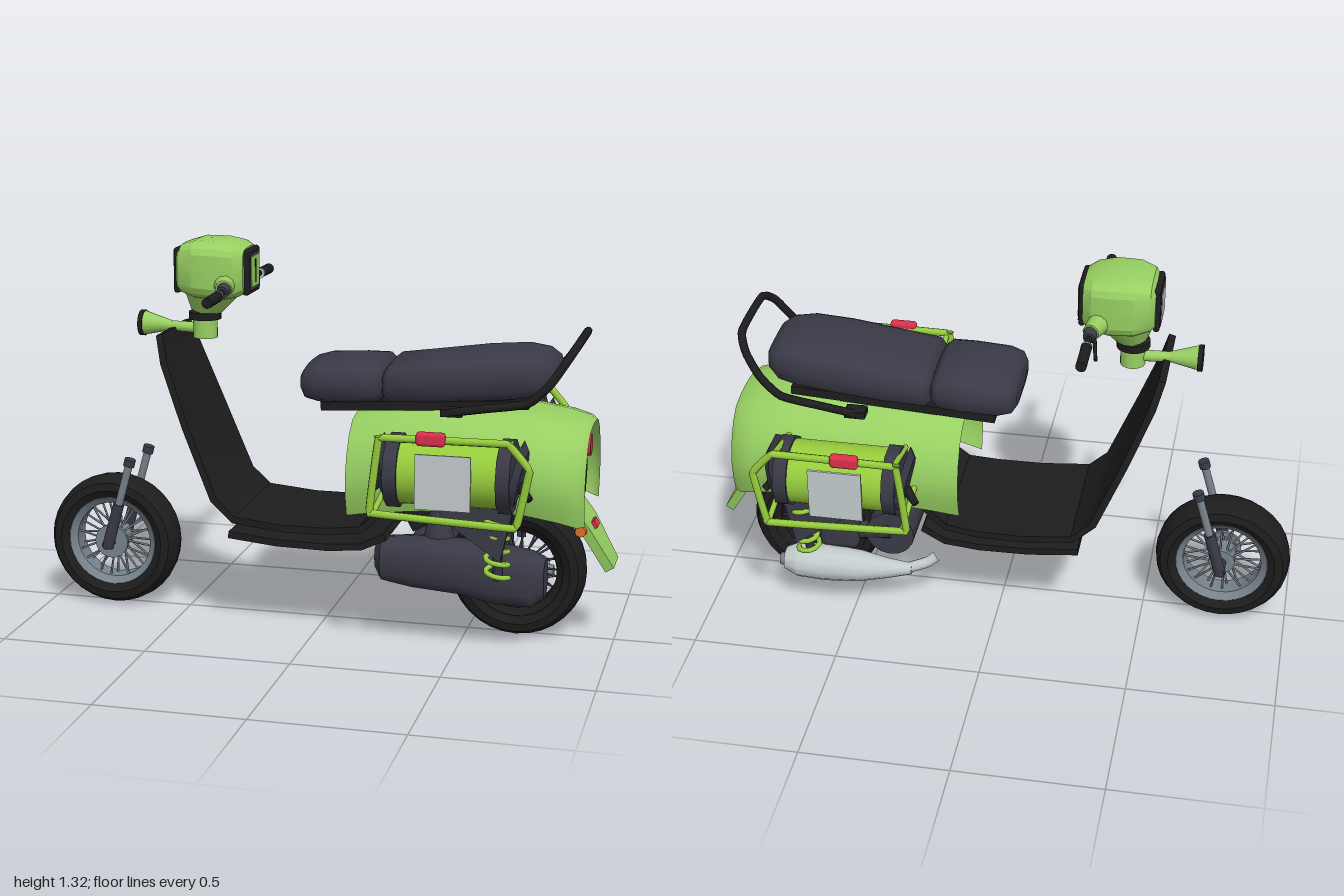
import * as THREE from 'three';
import { toCreasedNormals } from 'three/addons/utils/BufferGeometryUtils.js';
import { RoundedBoxGeometry } from 'three/addons/geometries/RoundedBoxGeometry.js';

const V = (x, y, z) => new THREE.Vector3(x, y, z);
const mat = (name, color, side = THREE.FrontSide) => {
  const m = new THREE.MeshStandardMaterial({ color, side });
  m.name = name;
  return m;
};

// Skin a list of rings that run towards +x; each ring turns from +y to +z.
function loft(rings, { closed = true, crease = 0.7 } = {}) {
  const n = rings[0].length, pos = [], idx = [];
  rings.forEach(r => r.forEach(p => pos.push(p.x, p.y, p.z)));
  for (let i = 0; i < rings.length - 1; i++)
    for (let j = 0; j < (closed ? n : n - 1); j++) {
      const a = i * n + j, b = i * n + (j + 1) % n;
      idx.push(a, b, a + n, b, b + n, a + n);
    }
  if (closed) [0, rings.length - 1].forEach((i, end) => {
    const c = rings[i].reduce((s, p) => s.add(p), V(0, 0, 0)).divideScalar(n);
    const k = pos.length / 3;
    pos.push(c.x, c.y, c.z);
    for (let j = 0; j < n; j++) {
      const a = i * n + j, b = i * n + (j + 1) % n;
      end ? idx.push(k, a, b) : idx.push(k, b, a);
    }
  });
  const g = new THREE.BufferGeometry();
  g.setAttribute('position', new THREE.Float32BufferAttribute(pos, 3));
  g.setIndex(idx);
  return toCreasedNormals(g, crease);
}

// Rounded cross-section: x, bottom, top, half width, centre z, roundness power.
function oval([x, bottom, top, w, cz = 0], power = 0.6, n = 20) {
  return Array.from({ length: n }, (_, j) => {
    const t = j / n * Math.PI * 2, c = Math.cos(t), s = Math.sin(t);
    const f = v => Math.sign(v) * Math.pow(Math.abs(v), power);
    return V(x, (top + bottom) / 2 + f(c) * (top - bottom) / 2, cz + f(s) * w);
  });
}

// Bent sheet following [x, y, half width] points.
function sheet(path, thick) {
  return loft(path.map(([x, y, w], i) => {
    const a = path[Math.max(i - 1, 0)], b = path[Math.min(i + 1, path.length - 1)];
    const n = V(a[1] - b[1], b[0] - a[0], 0).setLength(thick / 2);
    return [[1, -w], [1, w], [-1, w], [-1, -w]].map(([s, z]) => V(x + n.x * s, y + n.y * s, z));
  }), { crease: 0.5 });
}

export function createModel() {
  const model = new THREE.Group();
  const green = mat('leafGreen', 0x98d062, THREE.DoubleSide);
  const lime = mat('limeGreen', 0x96cc3c);
  const black = mat('black', 0x1d1d1d, THREE.DoubleSide);
  const dark = mat('charcoal', 0x3a3a47);
  const steel = mat('steel', 0x78838c);
  const silver = mat('silver', 0xc3cbcc);
  const red = mat('red', 0xd92f4c);
  const orange = mat('orange', 0xdf7028);

  const add = (name, geo, m, p = [0, 0, 0], r = [0, 0, 0], parent = model) => {
    const o = new THREE.Mesh(geo, m);
    o.name = name;
    o.position.set(...p);
    o.rotation.set(...r);
    parent.add(o);
    return o;
  };
  const tubePts = (pts, closed) => new THREE.CatmullRomCurve3(pts, closed, 'catmullrom', 0.3);
  const tube = (name, pts, r, m, closed = false, seg = 40) =>
    add(name, new THREE.TubeGeometry(tubePts(pts, closed), seg, r, 8, closed), m);
  // Straight round bar between two points
  const bar = (name, a, b, r1, r2, m, sides = 12, parent = model) => {
    const d = b.clone().sub(a);
    const o = add(name, new THREE.CylinderGeometry(r2, r1, d.length(), sides), m, [0, 0, 0], [0, 0, 0], parent);
    o.position.copy(a).add(b).multiplyScalar(0.5);
    o.quaternion.setFromUnitVectors(V(0, 1, 0), d.normalize());
    return o;
  };
  const box = (name, x, y, z, w, h, d, m, r) => add(name, new THREE.BoxGeometry(w, h, d), m, [x, y, z], r);

  // Wheels: tyre, rim, hub and spokes
  const ringGeo = pts => toCreasedNormals(
    new THREE.LatheGeometry(pts.map(p => new THREE.Vector2(...p)), 32), 0.6);
  const wheel = (name, x, rimMat, spokeMat) => {
    const g = new THREE.Group();
    g.name = name;
    g.position.set(x, 0.24, 0);
    model.add(g);
    const q = [Math.PI / 2, 0, 0];
    add('tyre', ringGeo([[0.155, -0.05], [0.185, -0.068], [0.212, -0.062], [0.228, -0.035], [0.233, 0],
      [0.228, 0.035], [0.212, 0.062], [0.185, 0.068], [0.155, 0.05], [0.155, -0.05]]), black, [0, 0, 0], q, g);
    add('rim', ringGeo([[0.135, -0.035], [0.158, -0.054], [0.163, -0.05], [0.163, 0.05], [0.158, 0.054],
      [0.135, 0.035], [0.135, -0.035]]), rimMat, [0, 0, 0], q, g);
    add('hub', new THREE.CylinderGeometry(0.045, 0.045, 0.09, 20), rimMat, [0, 0, 0], q, g);
    add('axle', new THREE.CylinderGeometry(0.016, 0.016, 0.23, 10), dark, [0, 0, 0], q, g);
    for (let i = 0; i < 32; i++) {
      const t = i / 32 * Math.PI * 2, u = t + (i % 2 ? 0.15 : -0.15), z = i % 4 < 2 ? 0.03 : -0.03;
      bar('spoke', V(Math.cos(t) * 0.04, Math.sin(t) * 0.04, z),
        V(Math.cos(u) * 0.14, Math.sin(u) * 0.14, z * 0.5), 0.004, 0.004, spokeMat, 5, g);
    }
  };
  wheel('frontWheel', -0.77, steel, steel);
  wheel('rearWheel', 0.67, black, dark);
  add('frontBrakeDisc', new THREE.CylinderGeometry(0.06, 0.06, 0.012, 24), steel, [-0.77, 0.24, 0.055], [Math.PI / 2, 0, 0]);

  // Leg shield and footboard
  add('legShield', sheet([[-0.545, 1.01, 0.155], [-0.52, 0.92, 0.19], [-0.44, 0.71, 0.215], [-0.34, 0.465, 0.225],
    [-0.27, 0.4, 0.228], [-0.1, 0.383, 0.23], [0.06, 0.383, 0.228], [0.17, 0.395, 0.22], [0.25, 0.465, 0.21]], 0.024), black);
  const under = [[-0.29, 0.345, 0.22], [-0.12, 0.33, 0.225], [0.05, 0.327, 0.225], [0.17, 0.335, 0.22], [0.25, 0.372, 0.21]];
  add('footboard', sheet(under, 0.024), black);
  add('footboardPanel', sheet(under.map(([x, y]) => [x, y - 0.012, 0.13]), 0.006), green);

  // Steering column and head
  bar('steeringNeck', V(-0.43, 0.98, 0), V(-0.43, 1.05, 0), 0.042, 0.042, green, 16);
  bar('neckCollar', V(-0.43, 1.045, 0), V(-0.43, 1.07, 0), 0.056, 0.056, black, 16);
  bar('neckCone', V(-0.43, 1.07, 0), V(-0.41, 1.15, 0), 0.05, 0.1, green, 12);
  add('head', loft([[-0.505, 1.15, 1.29, 0.085], [-0.49, 1.14, 1.31, 0.105], [-0.44, 1.125, 1.325, 0.126],
    [-0.36, 1.12, 1.325, 0.13], [-0.3, 1.13, 1.315, 0.115], [-0.27, 1.145, 1.3, 0.09]].map(s => oval(s, 0.5)),
  { crease: 0.35 }), green);
  [[-0.508, 'headlightBezel', -1], [-0.265, 'dashBezel', 1]].forEach(([x, name, s]) => {
    add(name, new RoundedBoxGeometry(0.022, 0.155, 0.145, 3, 0.01), black, [x, 1.218, 0]);
    box(name + 'Rim', x + s * 0.011, 1.218, 0, 0.005, 0.125, 0.115, dark);
    box(s < 0 ? 'headlightLens' : 'dashFace', x + s * 0.0135, 1.218, 0, 0.004, 0.105, 0.095, s < 0 ? silver : green);
  });
  box('dashNeedle', -0.249, 1.218, 0, 0.004, 0.08, 0.008, black);

  // Horn on the neck
  bar('hornTube', V(-0.56, 1.015, 0), V(-0.43, 1.01, 0), 0.017, 0.02, green);
  bar('hornBell', V(-0.648, 1.02, 0), V(-0.55, 1.015, 0), 0.042, 0.017, green, 16);
  bar('hornMouth', V(-0.662, 1.02, 0), V(-0.646, 1.02, 0), 0.045, 0.045, black, 16);

  // Body shell: half profile mirrored, open below and behind
  const profile = [[1, 0], [0.985, 0.3], [0.95, 0.55], [0.83, 0.76], [0.64, 0.91], [0.42, 1], [0.2, 0.98], [0, 0.9]];
  const shell = [[0.12, 0.44, 0.765, 0.235], [0.22, 0.46, 0.79, 0.25], [0.38, 0.48, 0.805, 0.265], [0.55, 0.49, 0.805, 0.272],
    [0.72, 0.49, 0.8, 0.272], [0.83, 0.47, 0.785, 0.262], [0.89, 0.45, 0.77, 0.24], [0.912, 0.45, 0.755, 0.215]];
  add('bodyShell', loft(shell.map(([x, b, t, w]) => {
    const half = profile.map(([y, z]) => V(x, b + (t - b) * y, w * z));
    return [...half.slice(1).reverse().map(p => V(p.x, p.y, -p.z)), ...half];
  }), { closed: false }), green);
  const pane = new THREE.Shape([[-0.17, 0.47], [0.17, 0.47], [0.2, 0.55], [0.14, 0.7], [0.08, 0.745], [-0.08, 0.745],
    [-0.14, 0.7], [-0.2, 0.55]].map(p => new THREE.Vector2(...p)));
  add('tailPanel', new THREE.ExtrudeGeometry(pane, { depth: 0.02, bevelEnabled: false }), black, [0.85, 0, 0], [0, Math.PI / 2, 0]);
  bar('tailLight', V(0.86, 0.68, 0), V(0.905, 0.68, 0), 0.044, 0.036, red, 14);

  // Rear mudguard with lamps
  add('rearMudguard', sheet([[0.85, 0.475, 0.113], [0.9, 0.415, 0.1], [0.985, 0.27, 0.066]], 0.032), green);
  box('rearReflector', 0.922, 0.41, 0, 0.02, 0.026, 0.06, red, [0, 0, 0.55]);
  for (const s of [-1, 1])
    bar('indicator', V(0.89, 0.41, s * 0.08), V(0.89, 0.41, s * 0.118), 0.022, 0.018, orange);

  // Two-part saddle
  add('frontSeat', loft([[-0.062, 0.83, 0.9, 0.12], [-0.045, 0.805, 0.925, 0.15], [0, 0.795, 0.938, 0.165],
    [0.12, 0.797, 0.945, 0.168], [0.2, 0.805, 0.945, 0.165], [0.222, 0.825, 0.925, 0.15]].map(s => oval(s)), { crease: 1 }), dark);
  add('rearSeat', loft([[0.226, 0.825, 0.925, 0.15], [0.245, 0.806, 0.948, 0.165], [0.4, 0.812, 0.97, 0.168],
    [0.55, 0.825, 0.992, 0.168], [0.68, 0.838, 1.003, 0.162], [0.75, 0.853, 0.993, 0.148],
    [0.785, 0.885, 0.97, 0.12], [0.797, 0.91, 0.945, 0.08]].map(s => oval(s)), { crease: 1 }), dark);
  box('seatBase', 0.36, 0.81, 0, 0.7, 0.03, 0.26, black, [0, 0, 0.06]);
  const rail = [[0.46, 0.81, 0.21], [0.58, 0.83, 0.212], [0.72, 0.855, 0.212], [0.79, 0.92, 0.208], [0.84, 0.995, 0.185], [0.868, 1.04, 0.12]];
  tube('grabRail', [...rail.map(p => V(...p)), ...rail.map(([x, y, z]) => V(x, y, -z)).reverse()], 0.014, black, false, 80);

  // Parts on both sides
  for (const s of [-1, 1]) {
    const P = (x, y, z) => V(x, y, z * s);
    // Fork leg
    bar('forkLower', P(-0.77, 0.23, 0.1), P(-0.725, 0.39, 0.1), 0.021, 0.02, dark);
    bar('forkUpper', P(-0.73, 0.37, 0.1), P(-0.682, 0.54, 0.1), 0.014, 0.014, steel);
    bar('forkCap', P(-0.685, 0.53, 0.1), P(-0.678, 0.555, 0.1), 0.02, 0.02, dark);
    // Handlebar, grip and lever
    bar('handlebarShoulder', P(-0.33, 1.18, 0.1), P(-0.31, 1.18, 0.175), 0.038, 0.028, green, 10);
    bar('switchHousing', P(-0.31, 1.178, 0.17), P(-0.308, 1.172, 0.2), 0.024, 0.02, dark);
    bar('handlebar', P(-0.308, 1.172, 0.19), P(-0.307, 1.167, 0.26), 0.011, 0.011, black);
    bar('gripRing', P(-0.307, 1.167, 0.243), P(-0.307, 1.167, 0.25), 0.019, 0.019, silver);
    bar('grip', P(-0.307, 1.167, 0.25), P(-0.307, 1.165, 0.37), 0.018, 0.018, black);
    bar('brakeLever', P(-0.325, 1.165, 0.19), P(-0.34, 1.135, 0.27), 0.007, 0.006, black, 8);
    // Side bag with padded ends
    bar('bagBarrel', P(0.32, 0.64, 0.325), P(0.67, 0.64, 0.325), 0.108, 0.108, lime, 24);
    for (const [x, d] of [[0.335, -1], [0.655, 1]]) {
      bar('bagEnd', P(x, 0.64, 0.325), P(x + d * 0.045, 0.64, 0.325), 0.121, 0.121, dark, 10);
      bar('bagEndPad', P(x + d * 0.045, 0.64, 0.325), P(x + d * 0.068, 0.635, 0.325), 0.121, 0.09, dark, 10);
      bar('bagStrap', P(x + d * 0.06, 0.61, 0.325), P(x + d * 0.1, 0.575, 0.36), 0.018, 0.012, black, 8);
    }
    box('bagPlate', 0.488, 0.635, s * 0.442, 0.18, 0.18, 0.008, silver);
    tube('bagFrame', [[0.28, 0.765], [0.3, 0.772], [0.68, 0.775], [0.7, 0.77], [0.76, 0.7], [0.762, 0.68], [0.728, 0.515],
      [0.71, 0.502], [0.27, 0.52], [0.252, 0.535]].map(([x, y]) => P(x, y, 0.443)), 0.013, lime, true, 100);
    for (const [x, y] of [[0.29, 0.765], [0.69, 0.77], [0.72, 0.51], [0.265, 0.525]])
      bar('frameStay', P(x, y, 0.443), P(x, y < 0.6 ? y + 0.04 : y - 0.04, 0.25), 0.01, 0.01, lime, 8);
    add('bagReflector', new RoundedBoxGeometry(0.095, 0.045, 0.034, 2, 0.012), red, [0.45, 0.778, s * 0.45]);
    box('seatFoot', 0.47, 0.81, s * 0.195, 0.07, 0.025, 0.05, black);
    // Suspension bracket and spring
    const tri = new THREE.Shape([[0.43, 0.54], [0.5, 0.465], [0.66, 0.355], [0.7, 0.54]].map(p => new THREE.Vector2(...p)));
    add('suspensionBracket', new THREE.ExtrudeGeometry(tri, { depth: 0.045, bevelEnabled: false }), dark, [0, 0, s * 0.32 - 0.0225]);
    bar('shockRod', P(0.64, 0.54, 0.315), P(0.64, 0.27, 0.25), 0.018, 0.016, dark);
    tube('shockSpring', Array.from({ length: 51 }, (_, i) => {
      const t = i / 50, a = t * Math.PI * 2 * 5;
      return P(0.64 + Math.cos(a) * 0.037, 0.28 + t * 0.24, 0.26 + t * 0.06 + Math.sin(a) * 0.037);
    }), 0.009, lime, false, 160);
  }

  // Engine on the left, drive side and cylinder
  add('engineCase', loft([[0.21, 0.25, 0.33, 0.035, 0.15], [0.235, 0.215, 0.36, 0.06, 0.16], [0.34, 0.2, 0.372, 0.075, 0.165],
    [0.5, 0.19, 0.37, 0.082, 0.168], [0.62, 0.165, 0.365, 0.082, 0.168], [0.74, 0.16, 0.345, 0.075, 0.165],
    [0.785, 0.19, 0.32, 0.05, 0.16]].map(r => oval(r, 0.7, 16)), { crease: 0.6 }), dark);
  bar('crankcase', V(0.38, 0.29, -0.15), V(0.38, 0.29, 0.15), 0.085, 0.085, dark, 16);
  bar('engineCylinder', V(0.42, 0.33, 0.13), V(0.42, 0.46, 0.13), 0.06, 0.03, dark, 10);
  box('engineMount', 0.33, 0.46, 0, 0.1, 0.16, 0.2, black, [0, 0, 0.5]);
  bar('swingArm', V(0.38, 0.3, -0.13), V(0.67, 0.24, -0.11), 0.035, 0.025, dark, 10);
  add('airBox', new RoundedBoxGeometry(0.14, 0.24, 0.07, 2, 0.025), dark, [0.56, 0.34, -0.14]);

  // Exhaust on the right
  add('muffler', loft([[0.3, 0.145, 0.185, 0.02, -0.17], [0.38, 0.13, 0.2, 0.035, -0.18], [0.48, 0.115, 0.225, 0.057, -0.19],
    [0.6, 0.11, 0.238, 0.066, -0.195], [0.7, 0.115, 0.235, 0.062, -0.195], [0.745, 0.135, 0.215, 0.042, -0.195]]
    .map(r => oval(r, 1, 12)), { crease: 0.6 }), silver);
  tube('exhaustPipe', [V(0.215, 0.21, -0.14), V(0.25, 0.185, -0.15), V(0.32, 0.165, -0.168), V(0.38, 0.165, -0.18)], 0.02, silver, false, 16);
  bar('exhaustTip', V(0.74, 0.17, -0.195), V(0.765, 0.17, -0.195), 0.026, 0.022, steel, 10);
  return model;
}
